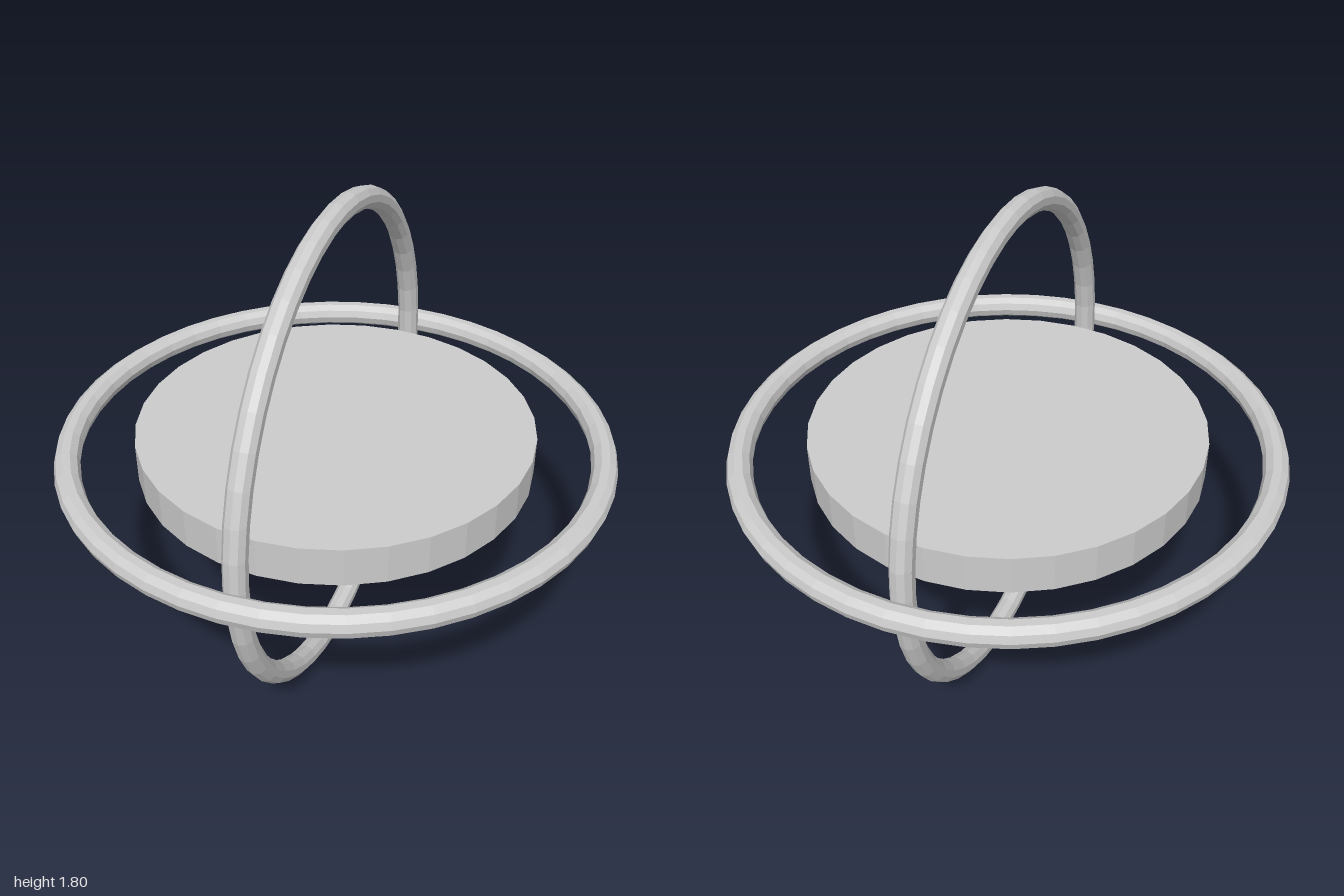
import * as THREE from 'three';

export function createModel() {
  const group = new THREE.Group();
  const material = new THREE.MeshStandardMaterial({ color: 0xcccccc, flatShading: true });
  const centreY = 0.9;

  function add(name, geometry) {
    const mesh = new THREE.Mesh(geometry, material);
    mesh.name = name;
    mesh.position.y = centreY;
    group.add(mesh);
    return mesh;
  }

  // Ring given by its outer radius and tube radius
  const ring = (outer, tube) => new THREE.TorusGeometry(outer - tube, tube, 10, 48);

  // Flat central disc
  add('disc', new THREE.CylinderGeometry(0.714, 0.714, 0.143, 32));

  // Wide ring lying level around the disc
  add('horizontalRing', ring(1, 0.046)).rotation.x = Math.PI / 2;

  // Slightly smaller upright ring, running front to back
  add('verticalRing', ring(0.9, 0.041)).rotation.y = Math.PI / 2;

  return group;
}
